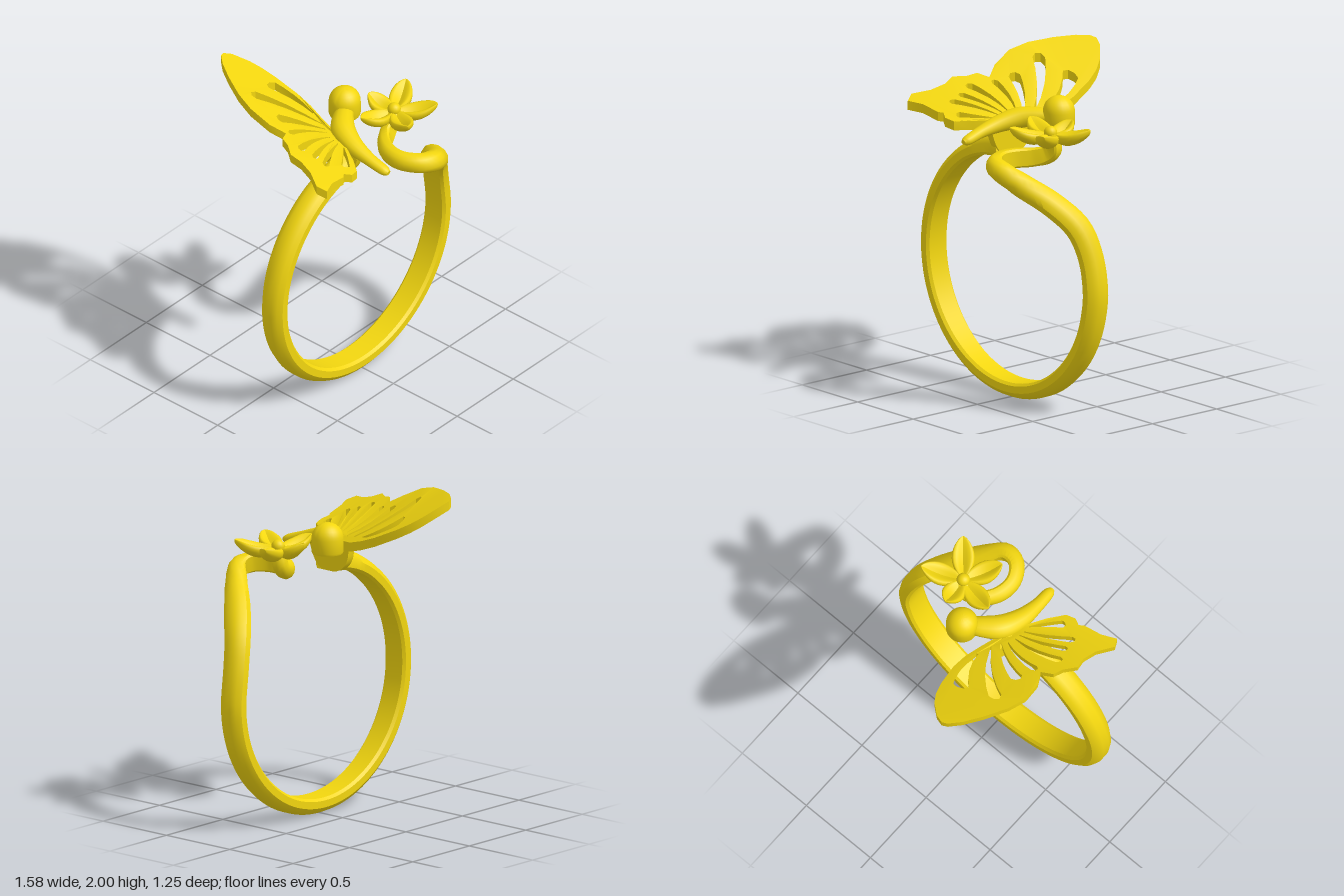
import * as THREE from 'three';
import { toCreasedNormals } from 'three/addons/utils/BufferGeometryUtils.js';

const gold = new THREE.MeshStandardMaterial({ color: 0xf2d60f });
const V = (x, y, z) => new THREE.Vector3(x, y, z);

// Flat inside, rounded outside: [thickness, width] in unit halves, counter-clockwise
const BAND = [[1, -0.3], [1, 0.3], [0.7, 0.72], [0.15, 1], [-0.7, 1], [-1, 0.8],
  [-1, -0.8], [-0.7, -1], [0.15, -1], [0.7, -0.72]];
const ROUND = Array.from({ length: 14 }, (_, i) =>
  [Math.cos(i / 7 * Math.PI), Math.sin(i / 7 * Math.PI)]);

function mesh(name, geometry) {
  const m = new THREE.Mesh(geometry, gold);
  m.name = name;
  return m;
}

// Sweeps a convex section along stations {p: point, n: thickness direction, s: [half thickness, half width]}
function sweep(stations, section, steps) {
  const curve = (pts) => new THREE.CatmullRomCurve3(pts, false, 'catmullrom');
  const path = curve(stations.map((s) => s.p));
  const normals = curve(stations.map((s) => s.n));
  const sizes = curve(stations.map((s) => V(s.s[0], s.s[1], 0)));
  const pos = [], index = [], m = section.length;
  for (let i = 0; i <= steps; i++) {
    const t = i / steps, p = path.getPoint(t), T = path.getTangent(t), s = sizes.getPoint(t);
    const N = normals.getPoint(t);
    N.addScaledVector(T, -N.dot(T)).normalize();
    const B = T.clone().cross(N);
    for (const [a, b] of section) {
      const q = p.clone().addScaledVector(N, a * s.x).addScaledVector(B, b * s.y);
      pos.push(q.x, q.y, q.z);
    }
  }
  for (let i = 0; i < steps; i++) {
    for (let j = 0; j < m; j++) {
      const a = i * m + j, b = i * m + (j + 1) % m;
      index.push(a, b, b + m, a, b + m, a + m);
    }
  }
  const e = steps * m;
  for (let j = 1; j < m - 1; j++) index.push(0, j + 1, j, e, e + j, e + j + 1);
  const g = new THREE.BufferGeometry();
  g.setAttribute('position', new THREE.Float32BufferAttribute(pos, 3));
  g.setIndex(index);
  return toCreasedNormals(g, 0.65);
}

// Ring band, leaving the circle on one side and curling up beneath the flower
function band() {
  const st = [];
  for (let d = 97; d <= 361; d += 12) {
    const a = d * Math.PI / 180, n = V(Math.cos(a), Math.sin(a), 0);
    const k = Math.max(0, 1 - (d - 97) / 20);
    st.push({ p: V(n.x * 0.742, 0.79 + n.y * 0.742, 0.21), n, s: [0.05 + 0.02 * k, 0.08 - 0.008 * k] });
  }
  const curl = [
    [0.71, 1.0, 0.22, 1, 0.3, 0, 0.05, 0.08],
    [0.645, 1.175, 0.265, 0.8, 0.6, 0.1, 0.05, 0.082],
    [0.53, 1.315, 0.37, 0.55, 0.8, 0.25, 0.05, 0.08],
    [0.41, 1.415, 0.485, 0.35, 0.7, 0.55, 0.05, 0.07],
    [0.3, 1.485, 0.565, 0.1, 0.3, 1, 0.05, 0.062],
    [0.2, 1.505, 0.545, -0.5, 0.1, 0.8, 0.045, 0.058],
    [0.138, 1.508, 0.45, -1, 0, 0.2, 0.042, 0.058],
    [0.142, 1.508, 0.34, -1, 0, -0.4, 0.04, 0.058],
    [0.2, 1.508, 0.25, -0.6, -0.1, -0.8, 0.038, 0.056],
    [0.28, 1.525, 0.2, -0.1, -0.2, -1, 0.038, 0.052],
    [0.335, 1.57, 0.185, 0, 0, -1, 0.038, 0.046],
    [0.335, 1.645, 0.2, 0, 0, -1, 0.038, 0.042],
  ];
  for (const c of curl) st.push({ p: V(c[0], c[1], c[2]), n: V(c[3], c[4], c[5]), s: [c[6], c[7]] });
  return sweep(st, BAND, 150);
}

// Teardrop slit from the wing root (x0, z0) to its wide outer end (x1, z1), bowed sideways
function slit([x0, z0, x1, z1, width, bow]) {
  const dx = x1 - x0, dz = z1 - z0, len = Math.hypot(dx, dz), nx = -dz / len, nz = dx / len;
  const at = (t, side) => {
    const o = bow * 4 * t * (1 - t) + side * width * (0.12 + 0.88 * t) / 2;
    return new THREE.Vector2(x0 + dx * t + nx * o, -(z0 + dz * t + nz * o));
  };
  const ts = [0, 0.25, 0.5, 0.75, 0.93];
  return new THREE.Path([...ts.map((t) => at(t, 1)), at(1, 0.4), at(1, -0.4),
    ...ts.slice().reverse().map((t) => at(t, -1))]);
}

// Height of the wing's underside: tilted up and outward, levelling off at the tip and tail
function wingHeight(x, z) {
  const y = z < 0 ? 1.598 - (0.42 - 0.12 * z) * x - 0.365 * z : 1.6 - (0.42 - 0.35 * z) * x - 0.14 * z;
  return y > 1.9 ? 1.9 + (y - 1.9) * 0.75 : y;
}

// Pierced wing pair, cut flat and then bent to height
function wing() {
  const fore = [[-0.06, 0.1], [-0.02, -0.04], [0, -0.15], [0, -0.25], [-0.03, -0.4], [-0.06, -0.48],
    [-0.1, -0.54], [-0.18, -0.61], [-0.235, -0.63], [-0.27, -0.615], [-0.33, -0.55], [-0.4, -0.44],
    [-0.47, -0.3], [-0.5, -0.18], [-0.48, -0.05], [-0.43, 0.035]];
  const hind = [[-0.5, 0.07], [-0.52, 0.13], [-0.575, 0.2], [-0.56, 0.27], [-0.58, 0.36], [-0.64, 0.46],
    [-0.61, 0.515], [-0.52, 0.475], [-0.4, 0.46], [-0.375, 0.44], [-0.33, 0.465], [-0.27, 0.45],
    [-0.2, 0.36], [-0.14, 0.26], [-0.1, 0.16]];
  const shape = new THREE.Shape([...fore, ...hind].map(([x, z]) => new THREE.Vector2(x, -z)));
  shape.holes = [
    [-0.045, -0.09, -0.145, -0.355, 0.11, 0.03],
    [-0.07, 0, -0.37, -0.29, 0.08, 0.03],
    [-0.1, 0.055, -0.365, -0.09, 0.075, 0.02],
    [-0.13, 0.085, -0.4, 0.035, 0.045, 0.02],
    [-0.15, 0.13, -0.47, 0.18, 0.05, 0.02],
    [-0.15, 0.165, -0.44, 0.265, 0.04, 0.012],
    [-0.155, 0.2, -0.43, 0.345, 0.045, 0.01],
    [-0.155, 0.245, -0.31, 0.395, 0.055, -0.005],
  ].map(slit);
  const g = new THREE.ExtrudeGeometry(shape, { depth: 0.055, bevelEnabled: false });
  g.rotateX(-Math.PI / 2);
  const p = g.attributes.position;
  for (let i = 0; i < p.count; i++) p.setY(i, p.getY(i) + wingHeight(p.getX(i), p.getZ(i)));
  return toCreasedNormals(g, 0.5);
}

// Plump pointed petal along +x, cupped upward, with a groove along the top
function petal() {
  const g = new THREE.SphereGeometry(1, 20, 14);
  g.rotateZ(-Math.PI / 2);
  const p = g.attributes.position;
  for (let i = 0; i < p.count; i++) {
    const t = THREE.MathUtils.clamp((p.getX(i) + 1) / 2, 0, 1), y = p.getY(i), z = p.getZ(i);
    const groove = y > 0 ? 0.03 * y * Math.max(0, 1 - Math.abs(z) * 1.6) : 0;
    const lift = 0.055 * t * t - 0.022 * Math.sin(Math.PI * t) + 0.02 * z * z;
    p.setXYZ(i, 0.01 + 0.24 * t, Math.sign(y) * Math.pow(Math.abs(y), 0.7) * 0.038 + lift - groove,
      z * 0.1 * Math.pow(t, 0.3) * Math.pow(1 - t, 0.25));
  }
  g.computeVertexNormals();
  return g;
}

function flower() {
  const f = new THREE.Group();
  f.name = 'flower';
  f.position.set(0.33, 1.66, 0.215);
  const g = petal();
  for (const [x, z] of [[-0.02, -0.185], [0.235, -0.11], [0.17, 0.195], [-0.12, 0.215], [-0.24, -0.05]]) {
    const m = mesh('petal', g);
    m.rotation.y = -Math.atan2(z, x);
    m.scale.x = Math.hypot(x, z) / 0.25;
    f.add(m);
  }
  const base = mesh('flowerBase', new THREE.SphereGeometry(0.05, 16, 10));
  base.scale.y = 0.5;
  base.position.y = -0.01;
  const centre = mesh('flowerCentre', new THREE.SphereGeometry(0.04, 16, 12));
  centre.position.y = 0.018;
  f.add(base, centre);
  return f;
}

// Curved tapering body
function body() {
  const rows = [[0.12, 1.69, 0.02, 0.05], [0.045, 1.69, 0.065, 0.065], [-0.035, 1.68, 0.14, 0.073],
    [-0.08, 1.655, 0.26, 0.06], [-0.092, 1.625, 0.39, 0.042], [-0.086, 1.595, 0.5, 0.034],
    [-0.084, 1.588, 0.535, 0.018]];
  return sweep(rows.map(([x, y, z, r]) => ({ p: V(x, y, z), n: V(0, 1, 0), s: [r * 0.85, r] })), ROUND, 40);
}

// Domed head on a short collar, hollow underneath
function head() {
  const pts = [[0, 0.06], [0.045, 0.05], [0.05, 0], [0.09, 0], [0.095, 0.012], [0.095, 0.09]];
  for (let i = 1; i <= 8; i++) {
    const a = i / 8 * Math.PI / 2;
    pts.push([0.095 * Math.cos(a), 0.09 + 0.095 * Math.sin(a)]);
  }
  const g = new THREE.LatheGeometry(pts.map(([r, y]) => new THREE.Vector2(Math.max(r, 0), y)), 28);
  g.translate(0.145, 1.64, -0.01);
  return toCreasedNormals(g, 0.6);
}

// Rounded plate joining the band's end to the body
function support() {
  const s = new THREE.Shape();
  s.moveTo(0.32, 1.6);
  s.quadraticCurveTo(0.28, 1.46, 0.2, 1.46);
  s.lineTo(0.13, 1.46);
  s.quadraticCurveTo(0.04, 1.48, 0.02, 1.57);
  s.lineTo(0.01, 1.66);
  s.lineTo(0.13, 1.68);
  s.lineTo(0.3, 1.64);
  const g = new THREE.ExtrudeGeometry(s, { depth: 0.05, bevelEnabled: false, curveSegments: 8 });
  g.rotateY(-Math.PI / 2);
  g.translate(-0.07, 0, 0);
  return toCreasedNormals(g, 0.6);
}

export function createModel() {
  const model = new THREE.Group();
  model.name = 'butterflyRing';
  const butterfly = new THREE.Group();
  butterfly.name = 'butterfly';
  butterfly.add(mesh('wing', wing()), mesh('body', body()), mesh('head', head()), mesh('support', support()));
  model.add(mesh('band', band()), butterfly, flower());
  return model;
}
